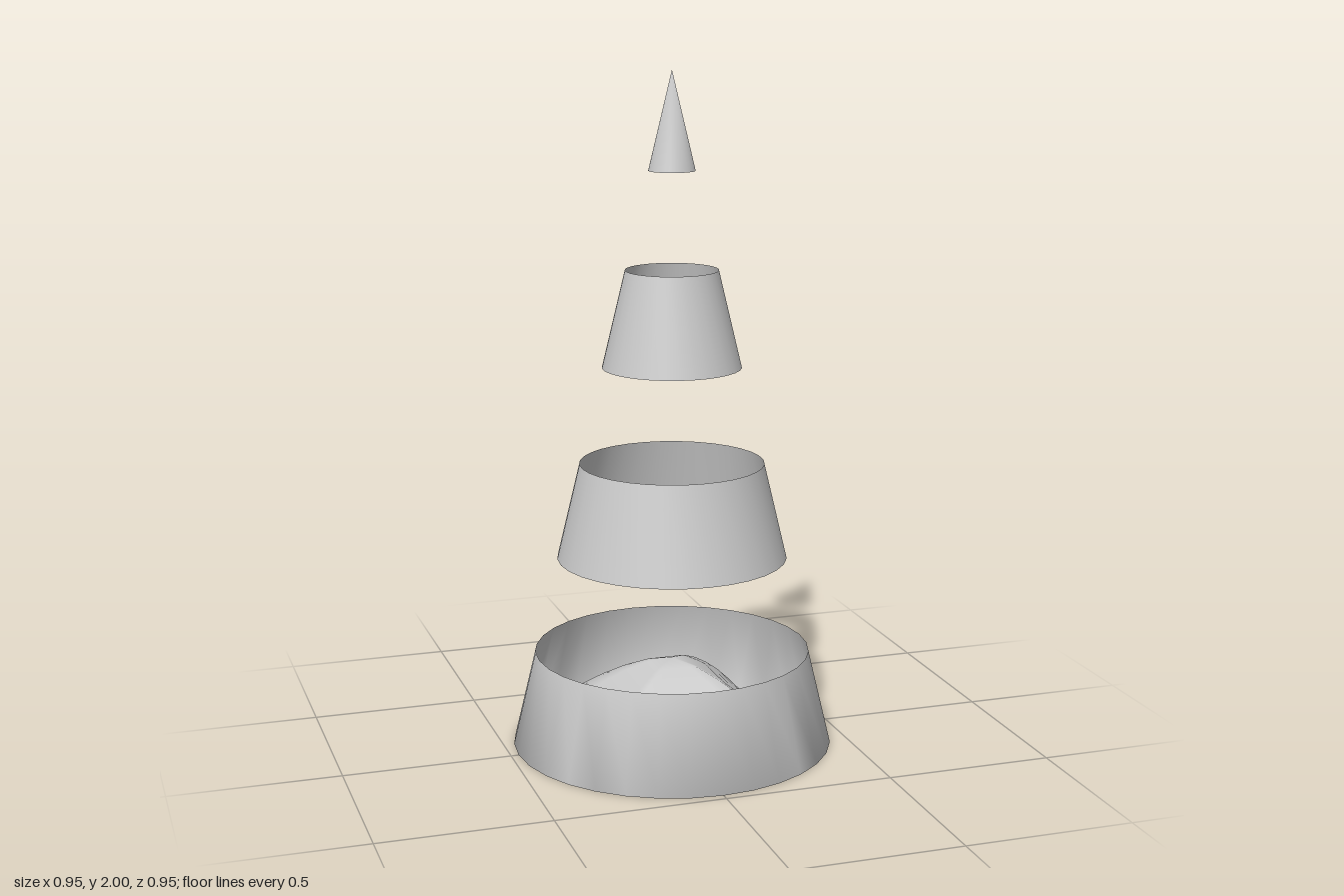
import * as THREE from 'three';
import { mergeVertices } from 'three/addons/utils/BufferGeometryUtils.js';

const HEIGHT = 2;
const RADIUS = 0.477;
const BANDS = 7;
const SIDES = 32;
const HILL_HALF = RADIUS / Math.SQRT2; // square whose corners touch the rim
const HILL_HEIGHT = 0.255;
const HILL_RINGS = 6;

// Weld vertices so seams and tips shade smoothly
function smooth(geometry) {
  geometry.deleteAttribute('normal');
  geometry.deleteAttribute('uv');
  const welded = mergeVertices(geometry);
  welded.computeVertexNormals();
  return welded;
}

// Point on the cone's slope at the lower edge of band i
const slopePoint = (i) =>
  new THREE.Vector2(RADIUS * (1 - i / BANDS), (HEIGHT * i) / BANDS);

// Open ring cut from the cone
function bandGeometry(i) {
  return smooth(new THREE.LatheGeometry([slopePoint(i), slopePoint(i + 1)], SIDES));
}

// Lowest ring, with a floor that rises to a rounded four-sided hill
function baseGeometry() {
  const profile = [];
  for (let k = 0; k <= HILL_RINGS; k++) {
    const s = k / HILL_RINGS;
    profile.push(new THREE.Vector2(HILL_HALF * s, HILL_HEIGHT * (1 - s ** 1.5)));
  }
  profile.push(slopePoint(0), slopePoint(1));
  const geometry = new THREE.LatheGeometry(profile, SIDES);

  // Push the hill's round contours out to squares
  const pos = geometry.attributes.position;
  for (let v = 0; v < pos.count; v++) {
    if (v % profile.length > HILL_RINGS) continue;
    const x = pos.getX(v);
    const z = pos.getZ(v);
    const side = Math.max(Math.abs(x), Math.abs(z));
    const scale = side > 0 ? Math.hypot(x, z) / side : 1;
    pos.setX(v, x * scale);
    pos.setZ(v, z * scale);
  }
  return smooth(geometry);
}

export function createModel() {
  const group = new THREE.Group();
  group.name = 'stripedCone';
  const material = new THREE.MeshStandardMaterial({ color: 0xcccccc, side: THREE.DoubleSide });

  const parts = {
    base: baseGeometry(),
    lowerBand: bandGeometry(2),
    upperBand: bandGeometry(4),
    tip: bandGeometry(6),
  };
  for (const [name, geometry] of Object.entries(parts)) {
    const mesh = new THREE.Mesh(geometry, material);
    mesh.name = name;
    group.add(mesh);
  }
  return group;
}
